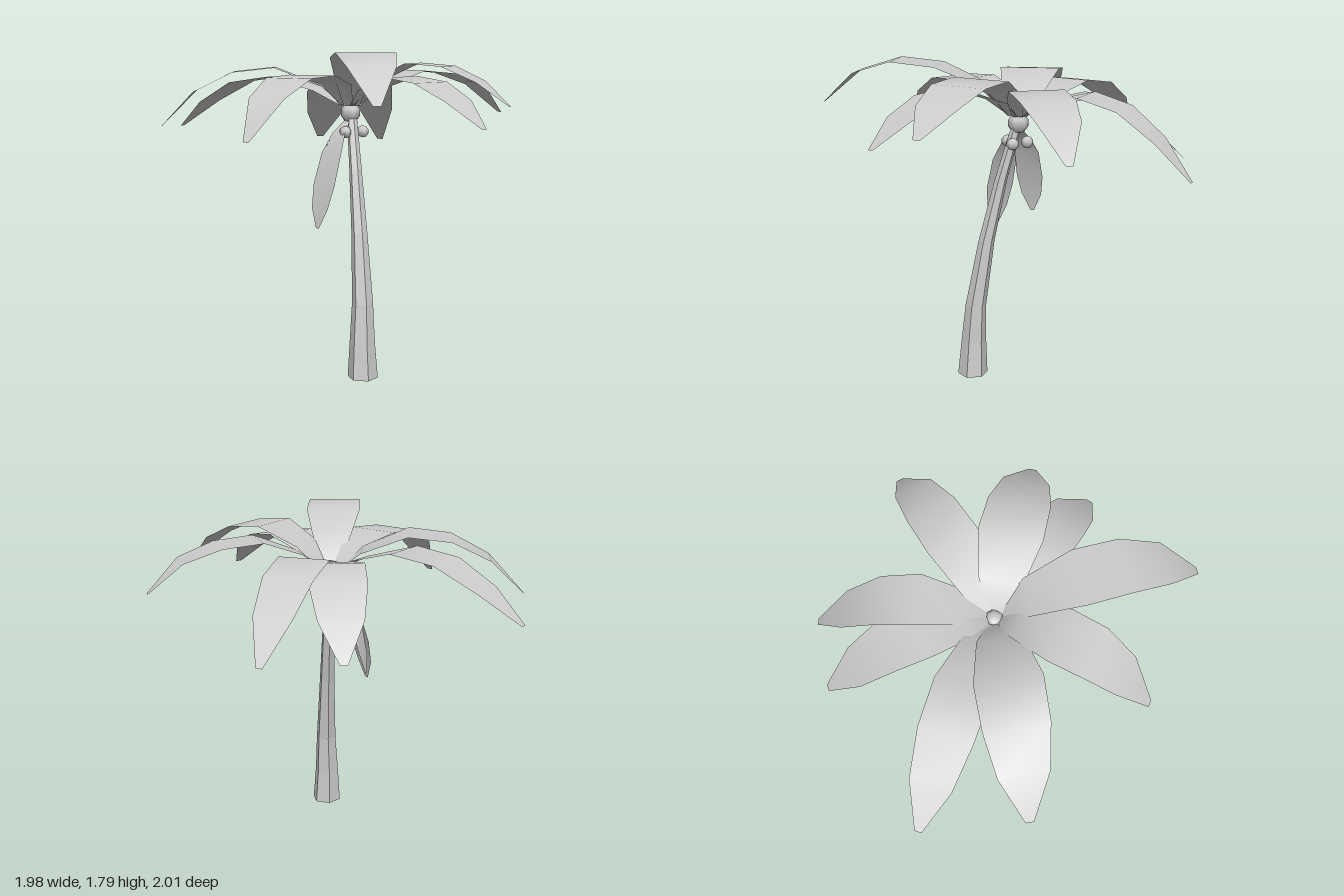
import * as THREE from 'three';

const CROWN = { x: 0.107, z: -0.035 };

export function createModel() {
  const palm = new THREE.Group();
  palm.name = 'palmTree';
  const grey = new THREE.MeshStandardMaterial({ color: 0xcccccc, side: THREE.DoubleSide });
  grey.name = 'paleGrey';

  const add = (name, geometry, x = 0, y = 0, z = 0) => {
    const mesh = new THREE.Mesh(geometry, grey);
    mesh.name = name;
    mesh.position.set(x, y, z);
    palm.add(mesh);
  };

  // Leaning six-sided trunk: rings of [x, y, z, radius]
  const rings = [
    [0.22, 0, 0.205, 0.085], [0.215, 0.2, 0.198, 0.071], [0.213, 0.42, 0.183, 0.059],
    [0.185, 0.8, 0.125, 0.045], [0.15, 1.15, 0.05, 0.035], [0.115, 1.45, -0.03, 0.028],
  ];
  const last = rings.length - 1;
  let trunk = new THREE.CylinderGeometry(1, 1, 1, 6, last, false, Math.PI / 2);
  const p = trunk.attributes.position;
  for (let i = 0; i < p.count; i++) {
    const [x, y, z, r] = rings[Math.round((p.getY(i) + 0.5) * last)];
    p.setXYZ(i, x + p.getX(i) * r, y, z + p.getZ(i) * r);
  }
  trunk = trunk.toNonIndexed();
  trunk.computeVertexNormals();
  add('trunk', trunk);

  // Crown bud and three coconuts under it
  add('crownBud', new THREE.SphereGeometry(0.058, 6, 5), CROWN.x, 1.46, CROWN.z);
  for (const [x, z] of [[0.09, 0.035], [0.178, -0.03], [0.09, -0.08]]) {
    add('coconut', new THREE.SphereGeometry(0.034, 6, 5), x, 1.355, z);
  }

  // Frond: a strip along a path of reach fractions and heights towards a tip
  const frond = (tipX, tipZ, reach, heights, widths, scale) => {
    const dx = tipX - CROWN.x, dz = tipZ - CROWN.z, len = Math.hypot(dx, dz);
    const positions = [], index = [];
    reach.forEach((t, i) => {
      const w = widths[i] * scale;
      for (const s of [-1, 1]) {
        positions.push(CROWN.x + dx * t + (s * w * dz) / len, heights[i],
          CROWN.z + dz * t - (s * w * dx) / len);
      }
      if (i) {
        const a = 2 * i - 2;
        index.push(a, a + 1, a + 2, a + 1, a + 3, a + 2);
      }
    });
    const g = new THREE.BufferGeometry();
    g.setAttribute('position', new THREE.Float32BufferAttribute(positions, 3));
    g.setIndex(index);
    g.computeVertexNormals();
    return g;
  };

  // Spreading fronds: tip x, tip z, heights from base to tip, width scale
  const reach = [0.04, 0.16, 0.4, 0.62, 0.82, 1];
  const widths = [0.045, 0.11, 0.16, 0.155, 0.12, 0.02];
  const spreading = [
    [0.155, -1.0, [1.5, 1.58, 1.635, 1.575, 1.425, 1.22], 0.88],
    [-0.23, -0.9, [1.5, 1.57, 1.61, 1.55, 1.41, 1.24], 0.95],
    [0.93, -0.6, [1.5, 1.6, 1.69, 1.67, 1.6, 1.435], 0.9],
    [0.985, 0.13, [1.5, 1.63, 1.735, 1.72, 1.64, 1.51], 1.05],
    [0.86, 0.45, [1.5, 1.59, 1.665, 1.64, 1.55, 1.415], 0.95],
    [0.39, 1.0, [1.5, 1.66, 1.77, 1.795, 1.73, 1.56], 0.97],
    [-0.28, 0.78, [1.5, 1.62, 1.675, 1.665, 1.57, 1.365], 0.95],
    [-0.925, 0.19, [1.5, 1.61, 1.71, 1.685, 1.58, 1.385], 1.07],
    [-0.99, -0.355, [1.5, 1.58, 1.655, 1.62, 1.5, 1.345], 0.92],
  ];
  for (const [x, z, heights, scale] of spreading) {
    add('frond', frond(x, z, reach, heights, widths, scale));
  }

  // Two small fronds hanging beside the trunk
  const hangReach = [0.08, 0.35, 0.58, 0.8, 0.93, 1];
  const hangWidths = [0.02, 0.05, 0.078, 0.085, 0.065, 0.012];
  add('hangingFrond', frond(-0.045, 0.165, hangReach, [1.42, 1.35, 1.24, 1.07, 0.94, 0.83], hangWidths, 1));
  add('hangingFrond', frond(-0.1, -0.04, hangReach, [1.42, 1.36, 1.28, 1.13, 1.02, 0.92], hangWidths, 0.92));

  return palm;
}
